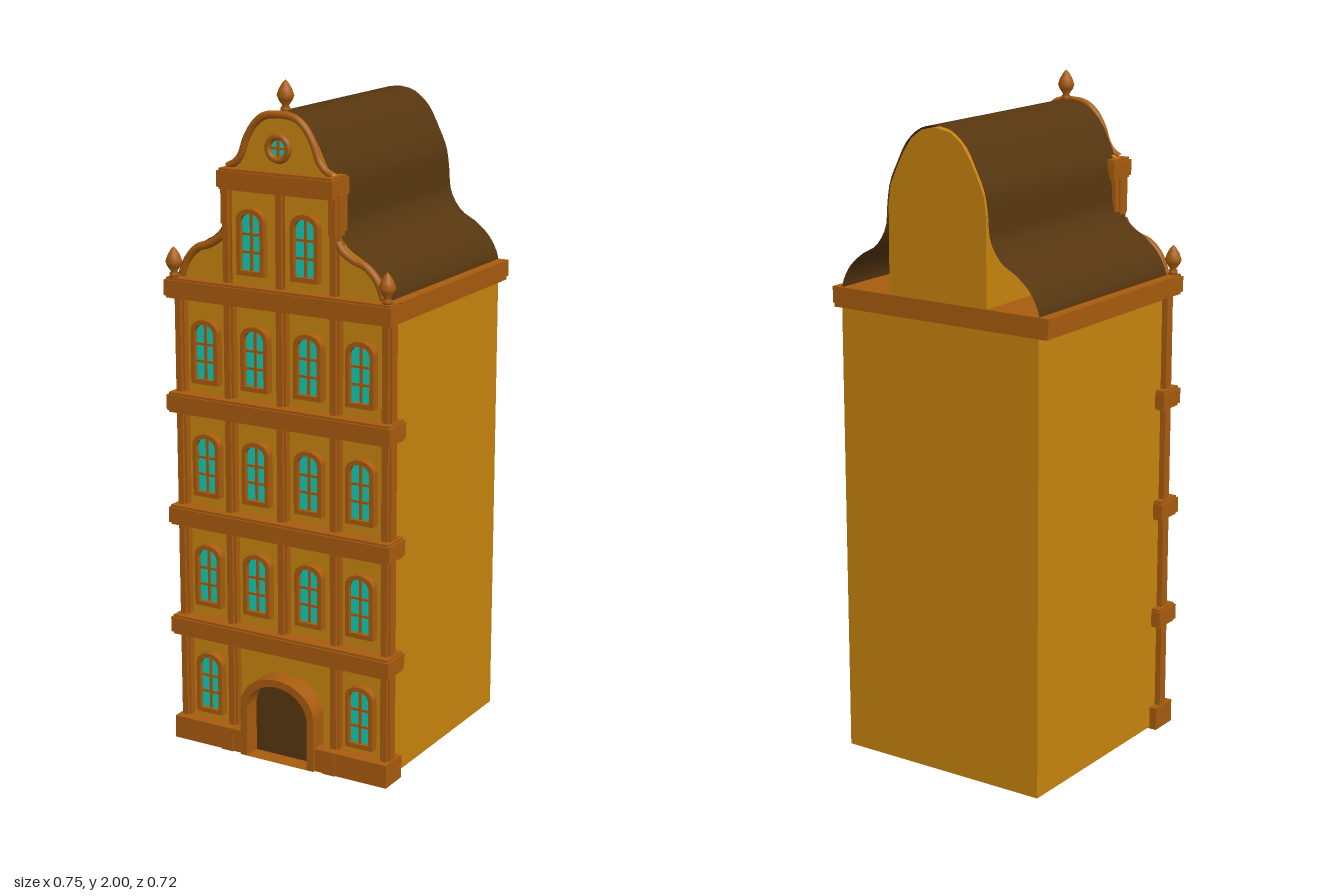
import * as THREE from 'three';
import { ParametricGeometry } from 'three/addons/geometries/ParametricGeometry.js';

const flat = (color, name, extra = {}) => {
  const m = new THREE.MeshStandardMaterial({ color, ...extra });
  m.name = name;
  return m;
};

export function createModel() {
  const root = new THREE.Group();
  root.name = 'gabledTownhouse';
  const wall = flat(0xc8840e, 'ochreWall');
  const trim = flat(0xa85c0e, 'brownTrim');
  const dark = flat(0x56360f, 'darkRoof', { side: THREE.DoubleSide });
  const glass = flat(0x10cdb8, 'tealGlass');

  const add = (name, geo, mat, x = 0, y = 0, z = 0, parent = root) => {
    const m = new THREE.Mesh(geo, mat);
    m.name = name;
    m.position.set(x, y, z);
    parent.add(m);
    return m;
  };
  // Box given by its limits on each axis
  const box = (name, mat, x0, x1, y0, y1, z0, z1, parent = root) =>
    add(name, new THREE.BoxGeometry(x1 - x0, y1 - y0, z1 - z0), mat,
      (x0 + x1) / 2, (y0 + y1) / 2, (z0 + z1) / 2, parent);
  const extrude = (shape, depth) =>
    new THREE.ExtrudeGeometry(shape, { depth, bevelEnabled: false, curveSegments: 12 });
  const spline = (pts) => new THREE.CatmullRomCurve3(pts.map(([x, y]) => new THREE.Vector3(x, y, 0)), false, 'centripetal');

  // Upright opening with an elliptical head, standing on y0
  const arch = (w, h, rise, y0 = 0, Kind = THREE.Shape) => {
    const s = new Kind();
    s.moveTo(-w / 2, y0);
    s.lineTo(w / 2, y0);
    s.lineTo(w / 2, y0 + h - rise);
    s.absellipse(0, y0 + h - rise, w / 2, rise, 0, Math.PI, false, 0);
    s.closePath();
    return s;
  };
  const archFrame = (w, h, rise, t, sill) => {
    const s = arch(w, h, rise);
    s.holes.push(arch(w - 2 * t, h - t - sill, rise - t / 2, sill, THREE.Path));
    return s;
  };

  // Main block
  box('body', wall, -0.34, 0.34, 0.005, 1.37, -0.36, 0.3);

  // Right half of the bell and shoulder outlines
  const bell = [[0, 1.91], [0.045, 1.902], [0.08, 1.878], [0.108, 1.835], [0.125, 1.79], [0.145, 1.765], [0.17, 1.752]];
  const scroll = [[0.185, 1.57], [0.2, 1.548], [0.235, 1.525], [0.275, 1.51], [0.31, 1.475], [0.332, 1.425]];
  const bellPts = spline(bell).getPoints(18), scrollPts = spline(scroll).getPoints(16);
  const mirrored = (half) => [...half.slice().reverse().map((p) => [-p[0], p[1]]), ...half];

  // Curved roof sheet swept from front to back
  const roofHalf = spline([[0, 1.912], [0.05, 1.902], [0.1, 1.862], [0.135, 1.8], [0.162, 1.74], [0.172, 1.68],
    [0.18, 1.61], [0.215, 1.555], [0.265, 1.525], [0.31, 1.485], [0.335, 1.44], [0.34, 1.42]]);
  const roof = new ParametricGeometry((u, v, target) => {
    const p = roofHalf.getPoint(Math.abs(2 * u - 1));
    target.set(Math.sign(u - 0.5) * p.x, p.y, 0.312 - v * 0.67);
  }, 64, 1);
  add('roof', roof, dark);

  // Raised centre of the back wall, filling the middle of the roof
  const tower = mirrored([[0, 1.906], [0.05, 1.896], [0.085, 1.87], [0.112, 1.83], [0.132, 1.793], [0.158, 1.735], [0.166, 1.68], [0.168, 1.36]]);
  add('backGable', extrude(new THREE.Shape(tower.map(([x, y]) => new THREE.Vector2(x, y))), 0.65), wall, 0, 0, -0.36);

  // Front gable plate
  const gableHalf = [...bellPts, new THREE.Vector3(0.172, 1.57, 0), ...scrollPts, new THREE.Vector3(0.332, 1.4, 0)].map((p) => [p.x, p.y]);
  const gable = new THREE.Shape(mirrored(gableHalf).map(([x, y]) => new THREE.Vector2(x, y)));
  add('frontGable', extrude(gable, 0.024), wall, 0, 0, 0.295);

  // Rounded edging on the bell and shoulders
  add('bellEdging', new THREE.TubeGeometry(spline(mirrored(bell.slice(1)).concat()), 48, 0.011, 8), trim, 0, 0, 0.319);
  for (const s of [-1, 1]) {
    add('scrollEdging', new THREE.TubeGeometry(spline(scroll.map(([x, y]) => [s * x, y])), 32, 0.012, 8), trim, 0, 0, 0.319);
  }

  // Storey bands, each a slab between two slimmer mouldings
  const band = (name, w, y0, y1) => {
    const g = new THREE.Group();
    g.name = name;
    root.add(g);
    box('slab', trim, -w, w, y0 + 0.007, y1 - 0.007, 0.26, 0.355, g);
    box('mouldings', trim, -w + 0.005, w - 0.005, y0, y1, 0.264, 0.35, g);
  };
  [0.333, 0.677, 1.02].forEach((y) => band('storeyBand', 0.37, y, y + 0.06));
  band('corniceFront', 0.372, 1.36, 1.42);
  band('upperCornice', 0.187, 1.69, 1.75);
  box('corniceSides', trim, -0.367, 0.367, 1.36, 1.413, -0.362, 0.3);
  box('corniceTop', trim, -0.372, 0.372, 1.372, 1.42, -0.362, 0.3);

  // Pilasters with a raised middle strip
  const pilaster = (x, y0, y1) => {
    const g = new THREE.Group();
    g.name = 'pilaster';
    root.add(g);
    box('shaft', trim, x - 0.016, x + 0.016, y0, y1, 0.29, 0.321, g);
    box('strip', trim, x - 0.009, x + 0.009, y0, y1, 0.29, 0.33, g);
  };
  pilaster(0, 0.37, 1.7);
  for (const s of [-1, 1]) {
    pilaster(s * 0.342, 0, 1.38);
    pilaster(s * 0.175, 0, 1.7);
    box('bracket', trim, s * 0.175 - 0.011, s * 0.175 + 0.011, 1.59, 1.7, 0.27, 0.336);
    // Plinth beside the door
    const [a, b] = s > 0 ? [0.12, 0.363] : [-0.363, -0.12];
    box('plinth', trim, a, b, 0, 0.07, 0.26, 0.352);
    box('pilasterFoot', trim, s * 0.175 - 0.02, s * 0.175 + 0.02, 0, 0.072, 0.29, 0.356);
  }

  // Arched windows with six panes
  const frameGeo = extrude(archFrame(0.09, 0.19, 0.034, 0.013, 0.014), 0.028);
  const glassGeo = extrude(arch(0.074, 0.17, 0.03, 0.008), 0.006);
  const windowAt = (x, y, z) => {
    const g = new THREE.Group();
    g.name = 'window';
    g.position.set(x, y, z);
    root.add(g);
    add('frame', frameGeo, trim, 0, 0, 0, g);
    add('panes', glassGeo, glass, 0, 0, 0.009, g);
    box('mullion', trim, -0.004, 0.004, 0.01, 0.18, 0.01, 0.02, g);
    for (const h of [0.066, 0.117]) box('glazingBar', trim, -0.034, 0.034, h - 0.0035, h + 0.0035, 0.01, 0.019, g);
  };
  const inner = [-0.088, 0.088], outer = [-0.257, 0.257];
  [[0.09, outer], [0.43, [...outer, ...inner]], [0.77, [...outer, ...inner]], [1.11, [...outer, ...inner]], [1.45, inner]]
    .forEach(([y, xs]) => xs.forEach((x) => windowAt(x, y, y > 1.4 ? 0.312 : 0.298)));

  // Round window in the bell
  const eye = new THREE.Group();
  eye.name = 'roundWindow';
  eye.position.set(0, 1.815, 0.322);
  root.add(eye);
  add('ring', new THREE.TorusGeometry(0.033, 0.01, 8, 24), trim, 0, 0, 0.005, eye);
  add('pane', new THREE.CircleGeometry(0.032, 24), glass, 0, 0, 0.001, eye);
  box('uprightBar', trim, -0.003, 0.003, -0.03, 0.03, 0, 0.008, eye);
  box('crossBar', trim, -0.03, 0.03, -0.003, 0.003, 0, 0.008, eye);

  // Doorway
  const surround = (w, h, rise, t) => {
    const s = arch(w, h, rise);
    s.holes.push(arch(w - 2 * t, h - t - 0.0005, rise - t / 2, 0.0005, THREE.Path));
    return s;
  };
  add('doorSurround', extrude(surround(0.25, 0.26, 0.1, 0.022), 0.066), trim, 0, 0, 0.294);
  add('door', extrude(arch(0.21, 0.24, 0.09), 0.012), dark, 0, 0, 0.294);

  // Bud-shaped finials
  const bud = [[0, 0], [0.014, 0], [0.014, 0.012], [0.009, 0.018], [0.02, 0.034], [0.025, 0.046], [0.019, 0.064], [0.008, 0.082], [0, 0.09]]
    .map(([r, y]) => new THREE.Vector2(r, y));
  const budGeo = new THREE.LatheGeometry(bud, 10);
  add('topFinial', budGeo, trim, 0, 1.91, 0.287);
  for (const s of [-1, 1]) add('cornerFinial', budGeo, trim, s * 0.349, 1.418, 0.334);

  return root;
}
